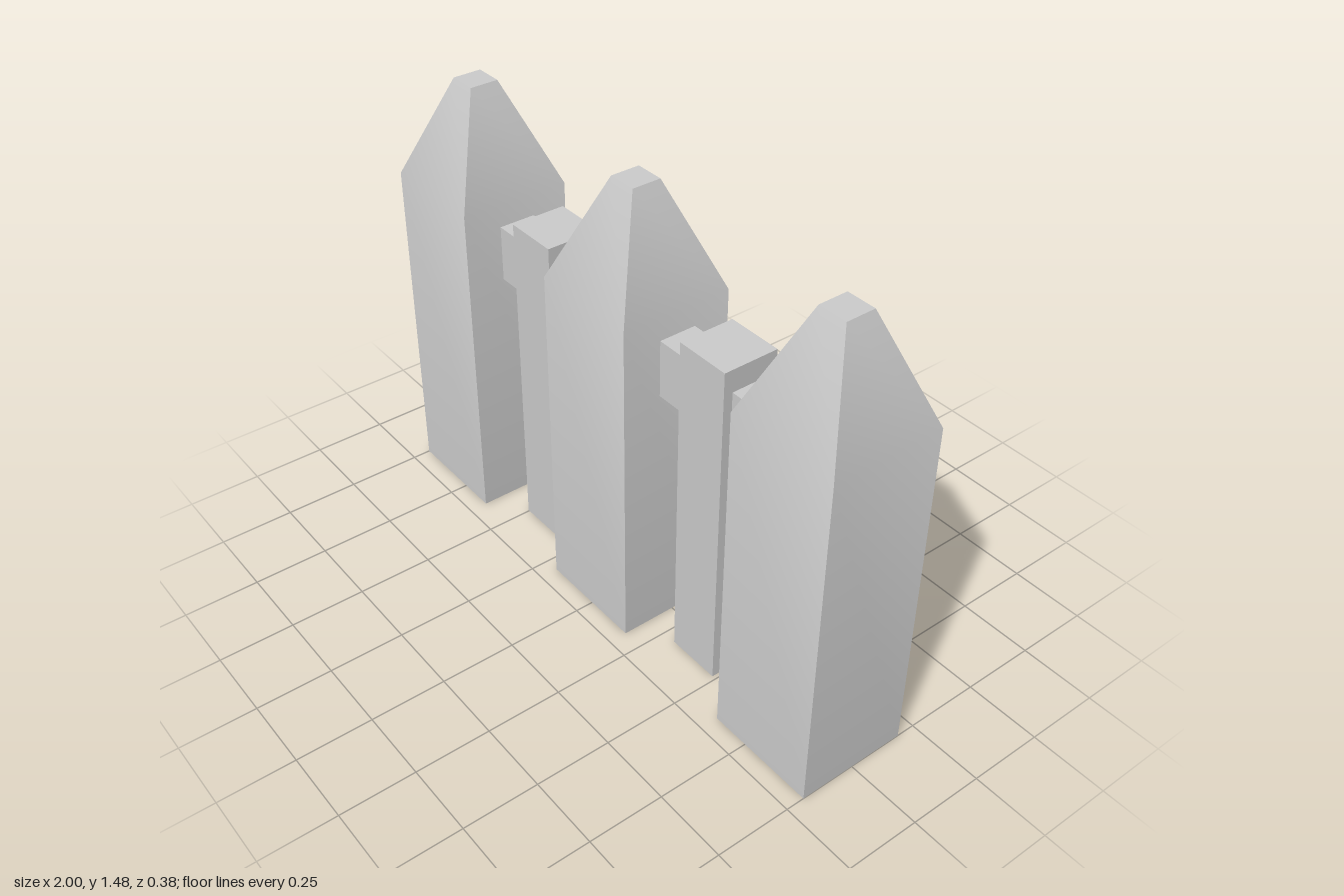
import * as THREE from 'three';
import { toCreasedNormals } from 'three/addons/utils/BufferGeometryUtils.js';

const material = new THREE.MeshStandardMaterial({ color: 0xcccccc });

// Square post with a tapered, flat-tipped head, turned as a four-sided lathe
function postGeometry() {
  const corner = 0.188 * Math.SQRT2;
  const tip = 0.048 * Math.SQRT2;
  const profile = [[0, 0], [corner, 0], [corner, 1.135], [tip, 1.475], [0, 1.475]]
    .map(([r, y]) => new THREE.Vector2(r, y));
  // Creases keep the corners sharp and blend the shaft softly into the head
  return toCreasedNormals(new THREE.LatheGeometry(profile, 4, Math.PI / 4), Math.PI / 6);
}

export function createModel() {
  const model = new THREE.Group();
  model.name = 'fence';

  function add(name, geometry, x, y = 0, z = 0) {
    const mesh = new THREE.Mesh(geometry, material);
    mesh.name = name;
    mesh.position.set(x, y, z);
    model.add(mesh);
  }

  // Three large pointed posts
  const post = postGeometry();
  [['rightPost', -0.812], ['middlePost', -0.011], ['leftPost', 0.812]]
    .forEach(([name, x]) => add(name, post, x));

  // Slim flat-topped pickets between the posts
  const picket = new THREE.BoxGeometry(0.186, 1.135, 0.186);
  [['rightPicket', -0.411], ['leftPicket', 0.393]]
    .forEach(([name, x]) => add(name, picket, x, 1.135 / 2, -0.003));

  // Cross rail joining everything
  add('rail', new THREE.BoxGeometry(1.28, 0.19, 0.125), 0, 0.965, -0.003);

  return model;
}
